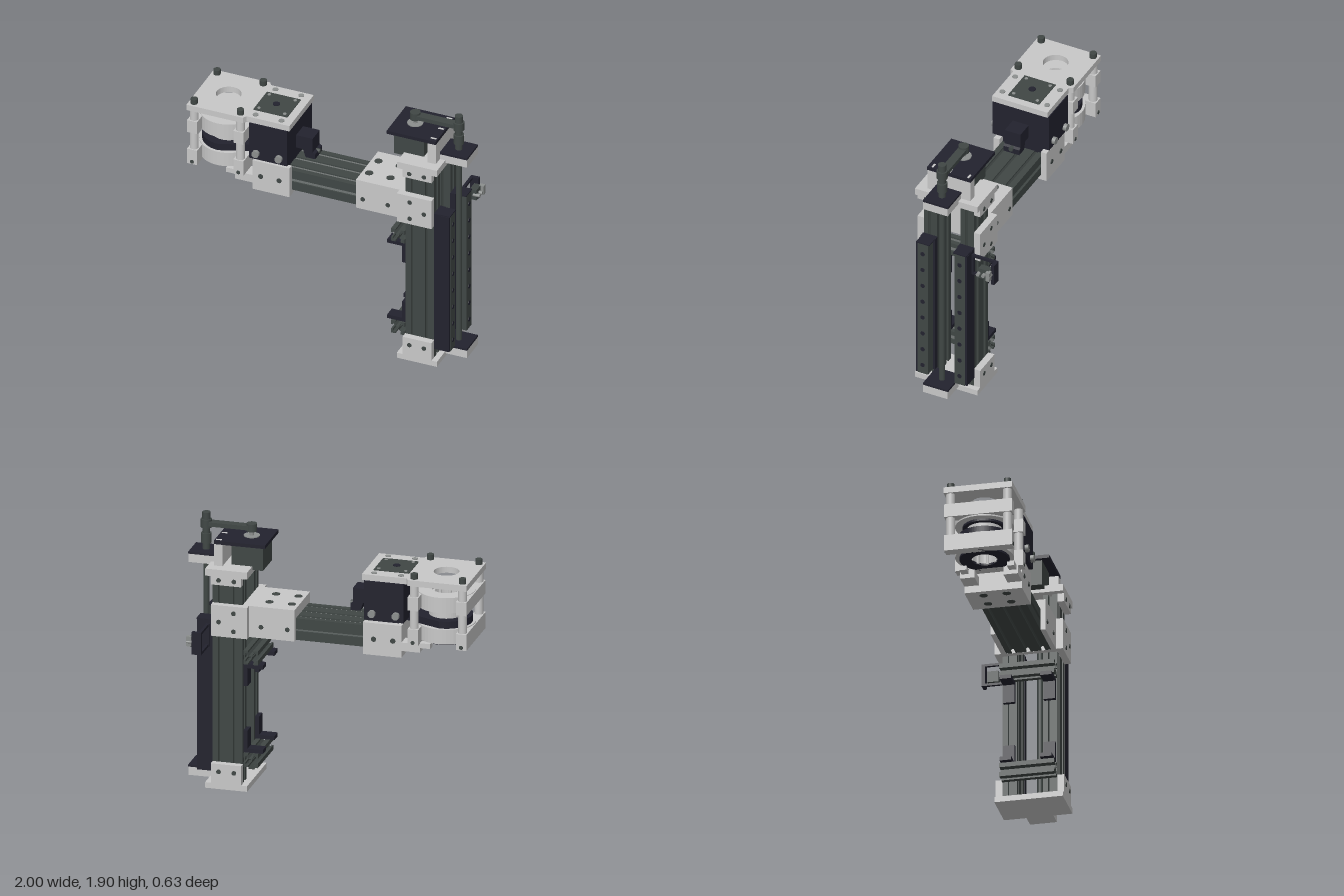
import * as THREE from 'three';

const flat = (name, color) => Object.assign(new THREE.MeshStandardMaterial({ color }), { name });
const alu = flat('light aluminium', 0xc8c8c8);
const dark = flat('dark extrusion', 0x404745);
const navy = flat('black anodised', 0x22222e);
const steel = flat('steel', 0x8c8f8e);

const ZC = 0.07; // mirror plane of the machine

export function createModel() {
  const root = new THREE.Group();
  root.name = 'gantryArm';

  const add = (name, geo, mat) => {
    const m = new THREE.Mesh(geo, mat);
    m.name = name;
    root.add(m);
    return m;
  };
  const box = (name, mat, x0, x1, y0, y1, z0, z1) =>
    add(name, new THREE.BoxGeometry(x1 - x0, y1 - y0, z1 - z0), mat)
      .position.set((x0 + x1) / 2, (y0 + y1) / 2, (z0 + z1) / 2);
  // box centred on the mirror plane, half depth d
  const mid = (name, mat, x0, x1, y0, y1, d) => box(name, mat, x0, x1, y0, y1, ZC - d, ZC + d);
  // pair of boxes between distances d0 and d1 from the mirror plane
  const pair = (name, mat, x0, x1, y0, y1, d0, d1) => {
    box(name + 'Front', mat, x0, x1, y0, y1, ZC + d0, ZC + d1);
    box(name + 'Back', mat, x0, x1, y0, y1, ZC - d1, ZC - d0);
  };
  const rod = (name, mat, r, x, y0, y1, z, sides = 24) =>
    add(name, new THREE.CylinderGeometry(r, r, y1 - y0, sides), mat).position.set(x, (y0 + y1) / 2, z);
  const rodZ = (name, mat, r, x, y, z, len) => {
    const m = add(name, new THREE.CylinderGeometry(r, r, len, 16), mat);
    m.rotation.x = Math.PI / 2;
    m.position.set(x, y, z);
  };
  const rodX = (name, mat, r, x, y, z, len) => {
    const m = add(name, new THREE.CylinderGeometry(r, r, len, 12), mat);
    m.rotation.z = Math.PI / 2;
    m.position.set(x, y, z);
  };
  // bolt heads on both outer faces at distance d
  const bolts = (pts, d, r = 0.016, mat = dark, h = 0.008) => pts.forEach(([x, y]) => {
    for (const s of [1, -1]) rodZ('bolt', mat, r, x, y, ZC + s * d, h);
  });
  // horizontal slab from a plan shape (shape y = -z)
  const slab = (name, mat, shape, y0, y1) => {
    const g = new THREE.ExtrudeGeometry(shape, { depth: y1 - y0, bevelEnabled: false, curveSegments: 24 });
    add(name, g.rotateX(-Math.PI / 2), mat).position.y = y0;
  };
  const ring = (name, mat, x, y0, y1, R, r) => {
    const s = new THREE.Shape().absarc(x, -ZC, R, 0, Math.PI * 2);
    s.holes.push(new THREE.Path().absarc(x, -ZC, r, 0, Math.PI * 2, true));
    slab(name, mat, s, y0, y1);
  };
  // T-slot profile, nu by nv slots on its sides
  const profile = (w, h, nu, nv, k = 1) => {
    const pts = [];
    const corners = [[-w / 2, -h / 2], [w / 2, -h / 2], [w / 2, h / 2], [-w / 2, h / 2]];
    corners.forEach(([cx, cy], i) => {
      const len = i % 2 ? h : w, n = i % 2 ? nv : nu, a = i * Math.PI / 2;
      const put = (t, d) => pts.push(new THREE.Vector2(
        cx + Math.cos(a) * t - Math.sin(a) * d, cy + Math.sin(a) * t + Math.cos(a) * d));
      put(0, 0);
      for (let j = 0; j < n; j++) {
        const c = len * (j + 0.5) / n;
        [[-0.014, 0], [-0.014, 0.01], [-0.026, 0.01], [-0.012, 0.032],
          [0.012, 0.032], [0.026, 0.01], [0.014, 0.01], [0.014, 0]]
          .forEach(([t, d]) => put(c + t * k, d * k));
      }
    });
    return new THREE.Shape(pts);
  };
  const extrude = (shape, depth) => new THREE.ExtrudeGeometry(shape, { depth, bevelEnabled: false });

  // Column: two slotted uprights with linear rails
  for (const s of [1, -1]) {
    const z = ZC + s * 0.14;
    add('upright', extrude(profile(0.21, 0.1, 2, 1), 1.5).rotateX(-Math.PI / 2), dark).position.set(0.695, 0.04, z);
    box('railBase', navy, 0.8, 0.84, 0.11, 1.2, z - 0.055, z + 0.055);
    box('rail', dark, 0.84, 0.915, 0.11, 1.192, z - 0.04, z + 0.04);
    box('railEnd', navy, 0.84, 0.915, 1.192, 1.2, z - 0.05, z + 0.05);
    box('railLip', navy, 0.84, 0.91, 0.11, 1.192, z + s * 0.047 - 0.007, z + s * 0.047 + 0.007);
    for (let i = 0; i < 8; i++) rodX('railScrew', navy, 0.016, 0.916, 0.18 + i * 0.133, z, 0.006);
  }

  // Foot and top cap with side flanges
  mid('foot', alu, 0.545, 0.84, 0, 0.04, 0.2375);
  pair('footFlange', alu, 0.587, 0.8, 0.04, 0.18, 0.19, 0.2375);
  mid('topCap', alu, 0.545, 0.84, 1.53, 1.58, 0.2375);
  pair('capFlange', alu, 0.587, 0.8, 1.47, 1.53, 0.19, 0.2375);
  bolts([[0.637, 0.125], [0.745, 0.125], [0.637, 1.505], [0.745, 1.505]], 0.238);

  // Lead screw, its bearing blocks and pulley
  for (const y of [0.025, 1.56]) {
    mid('bearingBlock', alu, 0.8, 1, y, y + 0.06, 0.093);
    mid('bearingCover', navy, 0.8, 1, y + 0.06, y + 0.075, 0.095);
  }
  rod('leadScrew', dark, 0.021, 0.9, 0.08, 1.66, ZC);
  [[0.026, 1.63, 1.68], [0.036, 1.68, 1.75], [0.025, 1.75, 1.79], [0.038, 1.79, 1.85], [0.028, 1.85, 1.9]]
    .forEach(([r, a, b]) => rod('screwPulley', dark, r, 0.9, a, b, ZC));

  // Lift motor on its bracket, with belt
  mid('motorWall', alu, 0.74, 0.8, 1.58, 1.735, 0.163);
  mid('motorPlate', navy, 0.44, 0.8, 1.735, 1.76, 0.165);
  mid('liftMotor', dark, 0.47, 0.69, 1.555, 1.735, 0.11);
  rod('motorCollar', steel, 0.055, 0.58, 1.76, 1.766, ZC);
  rod('motorShaft', steel, 0.016, 0.58, 1.76, 1.8, ZC);
  rod('motorPulley', dark, 0.036, 0.58, 1.795, 1.85, ZC);
  const stadium = (x0, x1, r0, r1) => new THREE.Shape()
    .absarc(x0, -ZC, r0, Math.PI / 2, Math.PI * 1.5)
    .absarc(x1, -ZC, r1, -Math.PI / 2, Math.PI / 2);
  slab('liftBelt', dark, stadium(0.58, 0.9, 0.03, 0.03), 1.805, 1.835);
  for (const z of [-0.07, 0.07, 0.2]) box('plateSlot', alu, 0.75, 0.79, 1.76, 1.763, z - 0.007, z + 0.007);

  // Cross beams with angle brackets behind the column
  for (const [y, s] of [[0.21, 1], [0.95, -1]]) {
    add('crossBeam', extrude(profile(0.1, 0.1, 1, 1, 1.25), 0.38), dark).position.set(0.533, y, ZC - 0.19);
    const span = (a, b) => [y + s * a, y + s * b].sort((p, q) => p - q);
    pair('bracketFoot', navy, 0.45, 0.587, ...span(0.052, 0.08), 0.1, 0.18);
    pair('bracketLeg', navy, 0.558, 0.587, ...span(0.08, 0.21), 0.1, 0.18);
  }

  // Horizontal arm
  add('arm', extrude(profile(0.31, 0.155, 3, 1), 1.05).rotateY(Math.PI / 2), dark).position.set(-0.5, 1.178, ZC);

  // Shoulder clamp
  mid('shoulderTop', alu, 0.225, 0.59, 1.256, 1.325, 0.19);
  pair('shoulderSide', alu, 0.225, 0.59, 1.1, 1.256, 0.156, 0.19);
  mid('shoulderEnd', alu, 0.55, 0.588, 1.1, 1.256, 0.156);
  pair('shoulderPlate', alu, 0.545, 0.8, 1.1, 1.325, 0.19, 0.2375);
  bolts([[0.275, 1.18], [0.46, 1.18]], 0.191);
  bolts([[0.64, 1.275], [0.745, 1.205], [0.64, 1.145]], 0.238);
  for (const x of [0.275, 0.432]) for (const s of [1, -1]) rod('shoulderHole', dark, 0.028, x, 1.322, 1.328, ZC + s * 0.08);

  // Limit sensor on a C-shaped bracket
  box('sensorArmTop', navy, 0.825, 0.845, 1.153, 1.17, -0.32, -0.11);
  box('sensorArmBottom', navy, 0.825, 0.845, 1.008, 1.025, -0.32, -0.11);
  box('sensorWeb', navy, 0.82, 0.845, 1.008, 1.17, -0.14, -0.115);
  box('sensorEnd', navy, 0.825, 0.89, 1.01, 1.17, -0.32, -0.295);
  box('sensorBody', dark, 0.86, 0.91, 1.05, 1.13, -0.29, -0.21);
  for (const z of [-0.295, -0.255, -0.215]) rodX('sensorPin', steel, 0.013, 0.91, 1.09, z, 0.05);
  box('sensorConnector', steel, 0.9, 0.935, 1.06, 1.13, -0.305, -0.275);

  // Wrist cradle under the arm tip
  mid('wristBase', alu, -0.53, -0.26, 1.065, 1.1, 0.2);
  pair('wristSide', alu, -0.53, -0.26, 1.1, 1.295, 0.157, 0.2);
  mid('wristEnd', alu, -0.53, -0.5, 1.1, 1.295, 0.157);
  pair('wristEar', alu, -0.66, -0.53, 1.115, 1.175, 0.1, 0.2);
  pair('wristLug', alu, -0.73, -0.62, 1.145, 1.18, 0.14, 0.19);
  bolts([[-0.47, 1.18], [-0.335, 1.18]], 0.201, 0.018);
  for (const x of [-0.47, -0.335]) for (const s of [1, -1]) rod('wristHole', dark, 0.028, x, 1.062, 1.068, ZC + s * 0.08);

  // Head drive housing with motor and side sensor
  mid('driveHousing', navy, -0.55, -0.27, 1.32, 1.6, 0.215);
  mid('driveSpacer', navy, -0.5, -0.3, 1.25, 1.32, 0.15);
  bolts([[-0.497, 1.37], [-0.328, 1.37]], 0.225, 0.026, steel, 0.03);
  mid('driveMotor', dark, -0.56, -0.31, 1.6, 1.65, 0.118);
  rod('driveMotorHub', navy, 0.025, -0.44, 1.65, 1.655, ZC);
  const hook = new THREE.Shape([[-0.27, 1.38], [-0.22, 1.38], [-0.2, 1.32], [-0.13, 1.32], [-0.13, 1.36],
    [-0.148, 1.37], [-0.148, 1.48], [-0.27, 1.48]].map(p => new THREE.Vector2(...p)));
  add('sensorHook', extrude(hook, 0.12), navy).position.z = ZC - 0.06;
  rodX('hookPin', dark, 0.016, -0.132, 1.355, ZC, 0.03);

  // Head top plate with round opening
  const top = new THREE.Shape([[-1, 0.2375], [-0.585, 0.2375], [-0.57, 0.21], [-0.255, 0.21],
    [-0.255, -0.21], [-0.57, -0.21], [-0.585, -0.2375], [-1, -0.2375]].reverse()
    .map(([x, d]) => new THREE.Vector2(x, d - ZC)));
  const HX = -0.79;
  top.holes.push(new THREE.Path().absarc(HX, -ZC, 0.087, 0, Math.PI * 2, true));
  slab('headTopPlate', alu, top, 1.602, 1.645);
  for (const x of [-0.52, -0.33]) for (const s of [1, -1]) {
    rod('plateScrew', steel, 0.02, x, 1.645, 1.65, ZC + s * 0.17);
    rod('motorScrew', steel, 0.012, -0.435 + (x + 0.425), 1.65, 1.654, ZC + s * 0.09);
  }

  // Posts, side bars and bolts of the rotary head
  for (const x of [-0.96, -0.62]) {
    for (const s of [1, -1]) {
      const z = ZC + s * 0.197;
      rod('post', alu, 0.03, x, 1.19, 1.605, z);
      rod('postScrew', dark, 0.025, x, 1.645, 1.682, z, 12);
      rodZ('barScrew', dark, 0.014, x, 1.195, ZC + s * 0.236, 0.006);
    }
    mid('upperBar', alu, x - 0.037, x + 0.037, 1.425, 1.52, 0.235);
    mid('lowerBar', alu, x - 0.037, x + 0.037, 1.175, 1.29, 0.235);
  }

  // Hollow rotary stage and its drive belt
  ring('upperBearing', alu, HX, 1.415, 1.525, 0.2, 0.1);
  ring('bearingSeal', navy, HX, 1.4, 1.415, 0.15, 0.095);
  ring('hollowHub', alu, HX, 1.19, 1.5, 0.12, 0.088);
  ring('lowerBearing', alu, HX, 1.19, 1.297, 0.2, 0.1);
  ring('bottomRing', navy, HX, 1.175, 1.19, 0.17, 0.088);
  const belt = stadium(HX, -0.45, 0.18, 0.05);
  belt.holes.push(new THREE.Path().absarc(HX, -ZC, 0.1, 0, Math.PI * 2, true));
  slab('headBelt', navy, belt, 1.297, 1.347);
  for (let i = 0; i < 8; i++) {
    const a = i * Math.PI / 4;
    rod('hubTooth', alu, 0.012, HX + Math.cos(a) * 0.088, 1.18, 1.5, ZC + Math.sin(a) * 0.088, 10);
  }
  return root;
}
